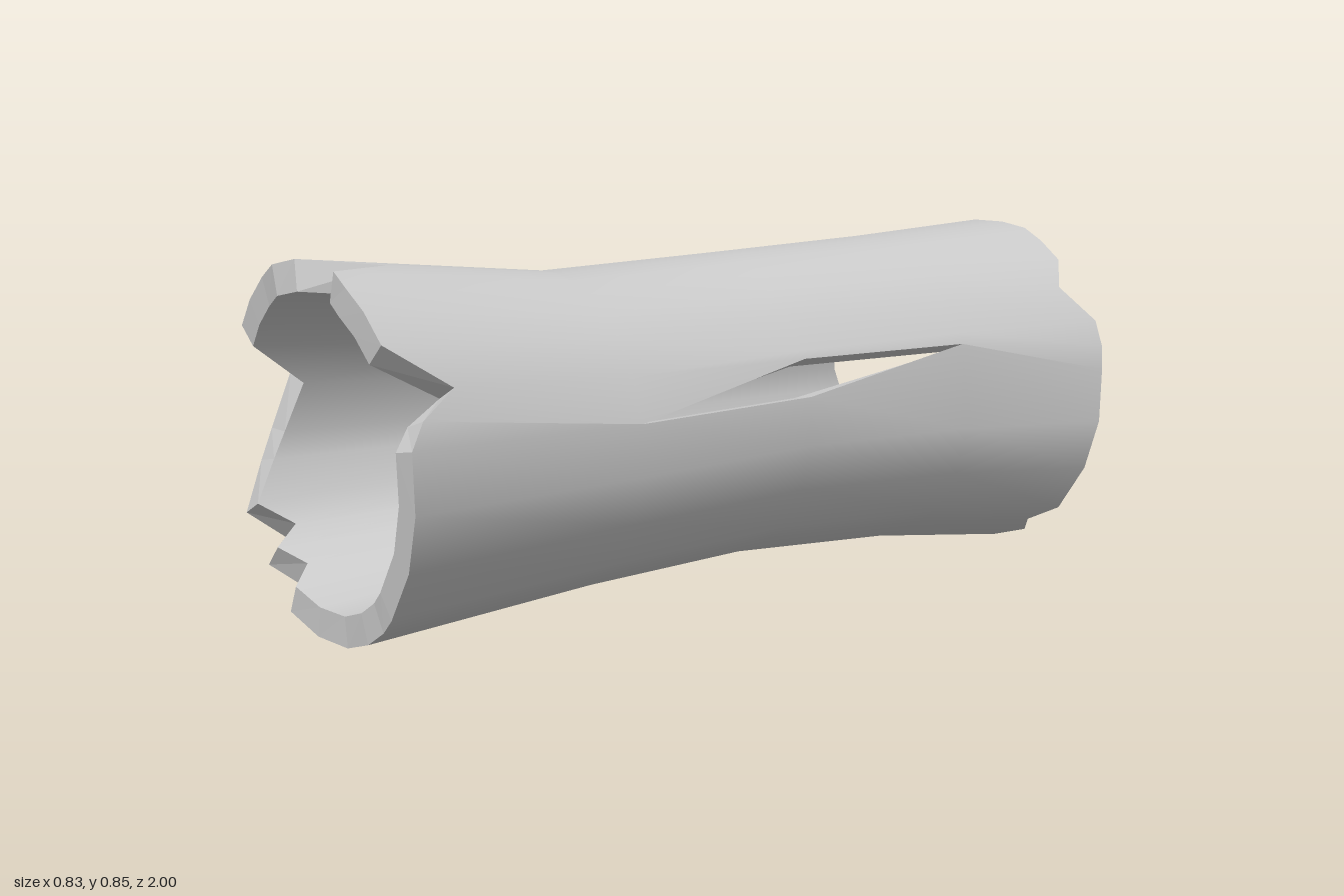
import * as THREE from 'three';

// Log profile along z: [z, centre height, outer radius, inner radius]
const PROFILE = [
  [1.0, 0.42, 0.425, 0.355],
  [0.37, 0.42, 0.368, 0.306],
  [-0.1, 0.443, 0.364, 0.303],
  [-0.57, 0.445, 0.383, 0.318],
  [-1.0, 0.435, 0.42, 0.353],
];

// Jagged ends: each entry is [angle in degrees, front z, back z]
const COLUMNS = [
  [9, 0.965, -0.99], [17, 0.93, -1], [26, 0.84, -1], [40, 0.98, -0.93],
  [52, 0.985, -0.985], [63, 0.99, -0.99], [73.5, 0.98, -1], [83, 0.82, -0.985],
  [97, 0.985, -0.985], [108, 1, -1], [119, 0.99, -0.98], [132, 0.985, -0.87],
  [143.5, 0.98, -0.74], [161, 0.84, -0.73], [180, 0.88, -0.74], [190, 0.91, -0.76],
  [206, 0.965, -0.975], [216, 0.89, -0.98], [224.5, 0.95, -0.98], [234, 0.9, -0.975],
  [244.5, 0.955, -0.975], [261, 0.945, -0.97], [279, 0.94, -0.97], [294, 0.945, -0.975],
  [305, 0.945, -0.92], [313, 0.95, -0.98], [333, 0.955, -0.98], [351, 0.96, -0.985],
];

// The crack lies between columns 0 and 1; their angles per ring, front to back
const CRACK = [[9, 9.5, 9, 22, 9], [17, 9.5, 23, 22, 17]];
const RINGS = PROFILE.length;
const N = COLUMNS.length;

function profileAt(z) {
  let k = 0;
  while (k < RINGS - 2 && z < PROFILE[k + 1][0]) k++;
  const a = PROFILE[k], b = PROFILE[k + 1];
  const t = (z - a[0]) / (b[0] - a[0]);
  return a.map((v, i) => v + (b[i] - v) * t);
}

function point(ring, col, inner) {
  const [deg, front, back] = COLUMNS[col % N];
  const z = ring === 0 ? front : ring === RINGS - 1 ? back : PROFILE[ring][0];
  const p = profileAt(z);
  const r = inner ? p[3] : p[2];
  const a = THREE.MathUtils.degToRad(CRACK[col % N] ? CRACK[col % N][ring] : deg);
  return [r * Math.cos(a), p[1] + r * Math.sin(a), z];
}

// Smooth bark or hollow surface, left open along the crack
function wallGeometry(inner) {
  const pos = [], index = [];
  for (let i = 0; i < RINGS; i++) for (let j = 0; j < N; j++) pos.push(...point(i, j, inner));
  for (let i = 0; i < RINGS - 1; i++) {
    for (let j = 0; j < N; j++) {
      if (j === 0 && (i === 1 || i === 2)) continue;
      const a = i * N + j, d = i * N + (j + 1) % N, b = a + N, c = d + N;
      if (inner) index.push(a, d, b, b, d, c);
      else index.push(a, b, d, b, c, d);
    }
  }
  const g = new THREE.BufferGeometry();
  g.setAttribute('position', new THREE.Float32BufferAttribute(pos, 3));
  g.setIndex(index);
  g.computeVertexNormals();
  return g;
}

// Flat faces joining the outer and inner surfaces
function facetGeometry(quads) {
  const pos = quads.flatMap(([a, b, c, d]) => [a, b, c, a, c, d].flat());
  const g = new THREE.BufferGeometry();
  g.setAttribute('position', new THREE.Float32BufferAttribute(pos, 3));
  g.computeVertexNormals();
  return g;
}

function rimQuads(ring) {
  return COLUMNS.map((_, j) => {
    const q = [point(ring, j, false), point(ring, j + 1, false), point(ring, j + 1, true), point(ring, j, true)];
    return ring === 0 ? q : q.reverse();
  });
}

function crackQuads() {
  const quads = [];
  for (const i of [1, 2]) {
    for (const col of [0, 1]) {
      const q = [point(i, col, false), point(i + 1, col, false), point(i + 1, col, true), point(i, col, true)];
      quads.push(col === 0 ? q : q.reverse());
    }
  }
  return quads;
}

export function createModel() {
  const group = new THREE.Group();
  group.name = 'hollowLog';
  const material = new THREE.MeshStandardMaterial({ color: 0xcccccc });
  const add = (name, geometry) => {
    const mesh = new THREE.Mesh(geometry, material);
    mesh.name = name;
    group.add(mesh);
  };
  add('outerBark', wallGeometry(false));
  add('innerHollow', wallGeometry(true));
  add('frontBrokenRim', facetGeometry(rimQuads(0)));
  add('backBrokenRim', facetGeometry(rimQuads(RINGS - 1)));
  add('sideCrackWalls', facetGeometry(crackQuads()));
  return group;
}
